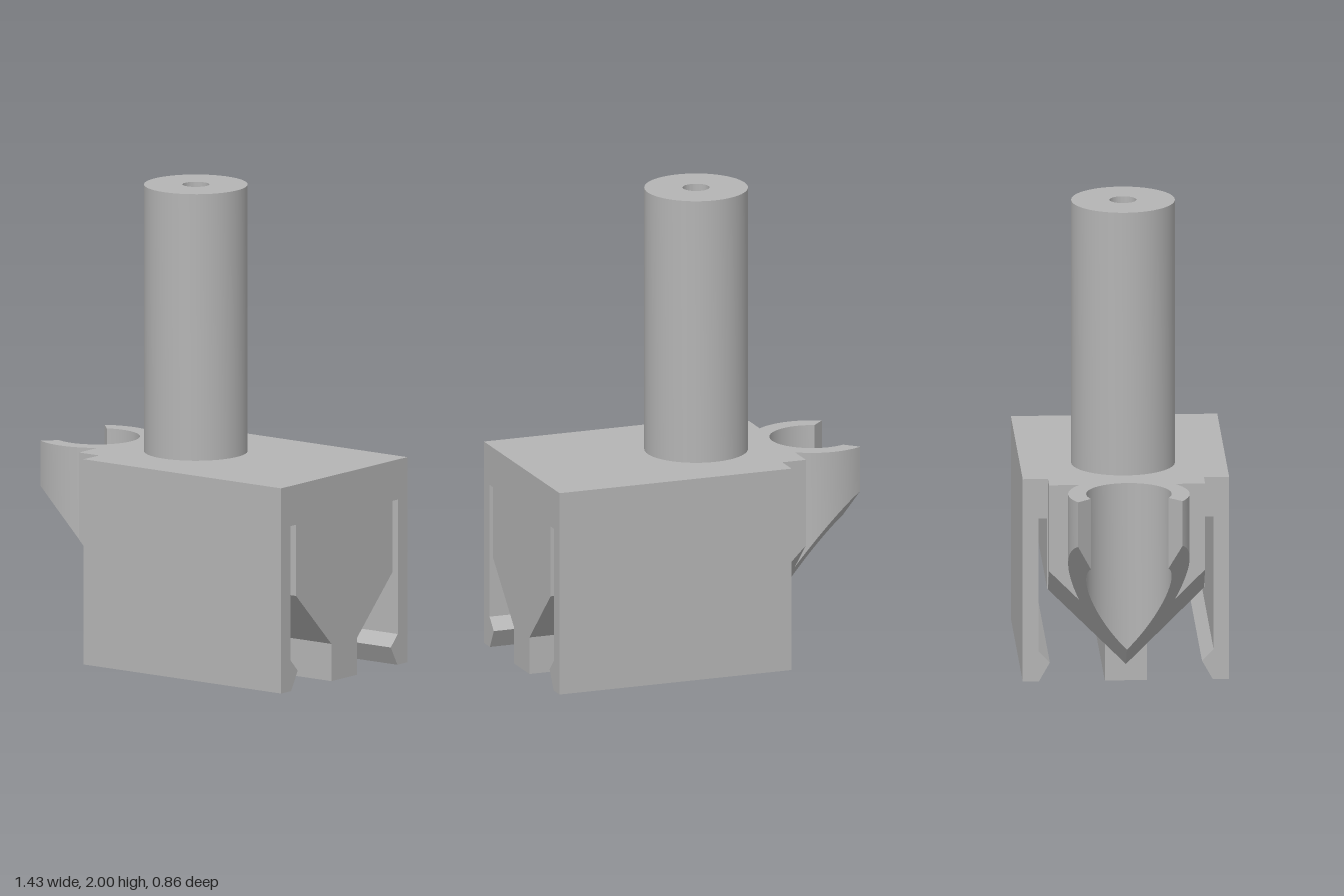
import * as THREE from 'three';
import { toCreasedNormals } from 'three/addons/utils/BufferGeometryUtils.js';

const TOP = 0.87, BACK = -0.325, FRONT = 0.713;

// Block with two snap-in side walls and a tapered central rib, extruded along x
function bodyGeometry() {
  const half = [
    [0.43, TOP], [0.43, 0], [0.362, 0], [0.317, 0.08], [0.365, 0.13], [0.365, 0.7],
    [0.328, 0.7], [0.328, 0.398], [0.088, 0.158], [0.088, 0],
  ];
  const outline = [...half, ...half.map(([z, y]) => [-z, y]).reverse()];
  const shape = new THREE.Shape(outline.map(([z, y]) => new THREE.Vector2(z, y)));
  const geometry = new THREE.ExtrudeGeometry(shape, { depth: FRONT - BACK, bevelEnabled: false });
  return geometry.rotateY(Math.PI / 2).translate(BACK, 0, 0);
}

// Half of the open ring clip; its underside slopes up outwards and backwards
function clipHalfGeometry(side) {
  const cx = -0.586, inner = 0.178, outer = 0.253;
  const points = [];
  const arc = (r, from, to, steps) => {
    for (let i = 0; i <= steps; i++) {
      const a = THREE.MathUtils.degToRad(from + (to - from) * i / steps);
      points.push(new THREE.Vector2(cx + r * Math.cos(a), side * r * Math.sin(a)));
    }
  };
  arc(inner, 0, 114.6, 28);
  arc(outer, 120.7, 52, 20);
  for (const [x, z] of [[-0.43, 0.325], [BACK, 0.325], [BACK, 0]]) {
    points.push(new THREE.Vector2(x, side * z));
  }
  const geometry = new THREE.ExtrudeGeometry(new THREE.Shape(points), { depth: TOP, bevelEnabled: false });
  geometry.rotateX(-Math.PI / 2);
  const p = geometry.attributes.position;
  for (let i = 0; i < p.count; i++) {
    if (p.getY(i) < 0.01) p.setY(i, Math.abs(p.getZ(i)) - p.getX(i) - 0.255);
  }
  return toCreasedNormals(geometry, 0.4);
}

// Round post with a bore down its axis
function postGeometry() {
  const profile = [[0.216, TOP], [0.216, 2], [0.056, 2], [0.056, TOP]];
  const lathe = new THREE.LatheGeometry(profile.map(([r, y]) => new THREE.Vector2(r, y)), 64);
  return toCreasedNormals(lathe, 0.4);
}

export function createModel() {
  const grey = new THREE.MeshStandardMaterial({ color: 0xb4b4b4 });
  grey.name = 'plain grey';
  const model = new THREE.Group();
  model.name = 'postMountWithClip';
  const add = (name, geometry) => {
    const mesh = new THREE.Mesh(geometry, grey);
    mesh.name = name;
    model.add(mesh);
    return mesh;
  };

  add('snapBody', bodyGeometry());
  add('clipHalfFront', clipHalfGeometry(-1));
  add('clipHalfBack', clipHalfGeometry(1));
  add('post', postGeometry()).position.x = -0.067;
  return model;
}
